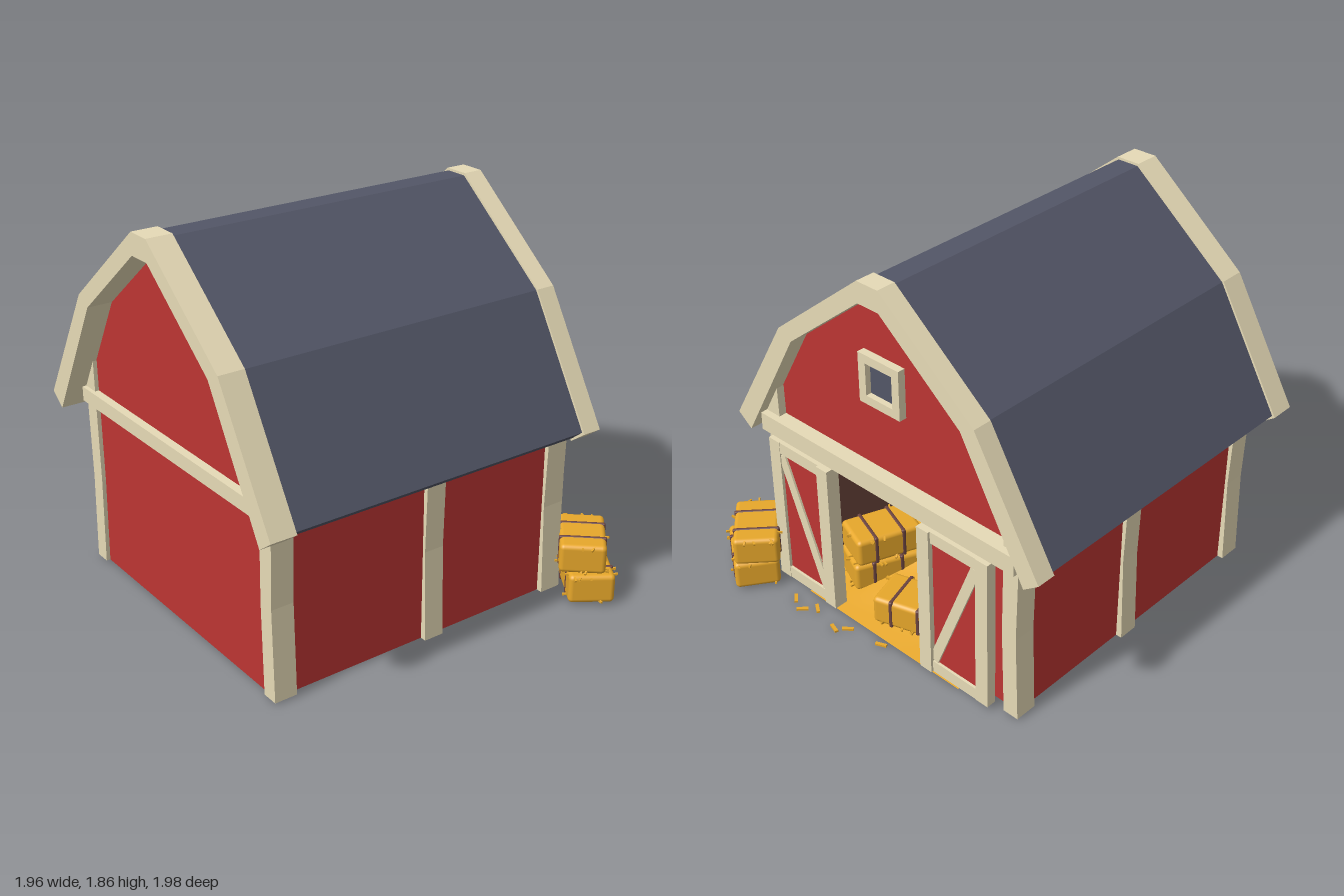
import * as THREE from 'three';
import { RoundedBoxGeometry } from 'three/addons/geometries/RoundedBoxGeometry.js';

const mat = (name, color, extra = {}) =>
  Object.assign(new THREE.MeshStandardMaterial({ color, ...extra }), { name });

export function createModel() {
  const red = mat('barn red', 0xbc3533, { side: THREE.DoubleSide });
  const cream = mat('cream trim', 0xe6dab6);
  const slate = mat('slate roof', 0x535667);
  const brown = mat('inner wood', 0x6e473c);
  const straw = mat('straw', 0xecab2c, { side: THREE.DoubleSide });
  const strapMat = mat('strap', 0x6a4340);

  const model = new THREE.Group();
  model.name = 'barnScene';
  const barn = new THREE.Group();
  barn.name = 'barn';
  barn.position.x = -0.07;
  model.add(barn);

  const add = (parent, name, geo, material, x = 0, y = 0, z = 0) => {
    const m = new THREE.Mesh(geo, material);
    m.name = name;
    m.position.set(x, y, z);
    parent.add(m);
    return m;
  };
  const box = (parent, name, material, w, h, d, x, y, z) =>
    add(parent, name, new THREE.BoxGeometry(w, h, d), material, x, y, z);
  // box given by its limits
  const span = (parent, name, material, x0, x1, y0, y1, z0, z1) =>
    box(parent, name, material, x1 - x0, y1 - y0, z1 - z0, (x0 + x1) / 2, (y0 + y1) / 2, (z0 + z1) / 2);
  const outline = pts => new THREE.Shape(pts.map(p => new THREE.Vector2(p[0], p[1])));
  // extrude an outline from z0 to z1
  const prism = (parent, name, material, pts, z0, z1) =>
    add(parent, name, new THREE.ExtrudeGeometry(outline(pts), { depth: z1 - z0, bevelEnabled: false }),
      material, 0, 0, z0);
  const mirror = pts => [...pts, ...pts.map(([x, y]) => [-x, y]).reverse()];
  // closed band between an outer and an inner half profile
  const band = (outer, inner) => [...mirror(outer), ...mirror(inner).reverse()];

  // walls: a thin shell, open below, with a doorway in the rear gable
  const gable = [[0.745, 0.01], [0.745, 1.0], [0.52, 1.41], [0.06, 1.8]];
  const FRONT = 0.88, REAR = -0.67, IN0 = -0.46, IN1 = 0.56, TOP = 0.84;
  add(barn, 'frontWall', new THREE.ShapeGeometry(outline(mirror(gable))), red, 0, 0, FRONT);
  add(barn, 'rearWall', new THREE.ShapeGeometry(outline(
    [...mirror(gable), [IN0, 0.01], [IN0, TOP], [IN1, TOP], [IN1, 0.01]])), red, 0, 0, REAR);
  for (const s of [-1, 1])
    box(barn, 'sideWall', red, 0.004, 0.98, FRONT - REAR, s * 0.743, 0.5, (FRONT + REAR) / 2);

  // wooden stall behind the doorway
  const BACK = -0.05, CEIL = 0.95;
  span(barn, 'stallBackWall', brown, IN0, IN1, 0.011, CEIL, BACK, BACK + 0.008);
  span(barn, 'stallSideWall', brown, IN0 - 0.008, IN0, 0.011, CEIL, REAR + 0.004, BACK + 0.008);
  span(barn, 'stallSideWall', brown, IN1, IN1 + 0.008, 0.011, CEIL, REAR + 0.004, BACK + 0.008);
  span(barn, 'stallCeiling', slate, IN0, IN1, CEIL, CEIL + 0.008, REAR + 0.004, BACK);

  // roof shell and the bargeboards at both ends
  const roofBand = band([[0.905, 0.865], [0.567, 1.435], [0.055, 1.845]],
    [[0.845, 0.815], [0.5, 1.4], [0.055, 1.76]]);
  prism(barn, 'roof', slate, roofBand, REAR, 0.89);
  const trimBand = band([[0.92, 0.86], [0.575, 1.44], [0.06, 1.857]],
    [[0.84, 0.8], [0.5, 1.4], [0.06, 1.755]]);
  prism(barn, 'frontBargeboard', cream, trimBand, 0.875, 1.0);
  prism(barn, 'rearBargeboard', cream, trimBand, -0.76, -0.665);

  // gently bowed posts along both sides
  const post = [[0.775, 0.01], [0.76, 0.45], [0.772, 0.915], [0.69, 1.06], [0.682, 0.45], [0.695, 0.01]];
  for (const [z0, z1] of [[0.79, 0.9], [0, 0.1], [-0.71, -0.6]]) {
    prism(barn, 'post', cream, post, z0, z1);
    prism(barn, 'post', cream, post.map(([x, y]) => [-x, y]).reverse(), z0, z1);
  }

  // cross beams under the gables
  span(barn, 'frontBeam', cream, -0.775, 0.775, 0.84, 0.91, 0.87, 0.92);
  span(barn, 'rearBeam', cream, -0.775, 0.775, 0.82, 0.91, -0.745, -0.58);

  // rear gable window
  const win = new THREE.Group();
  win.name = 'window';
  win.position.set(0.015, 1.36, REAR);
  barn.add(win);
  box(win, 'windowPane', slate, 0.16, 0.17, 0.008, 0, 0, -0.005);
  for (const s of [-1, 1]) {
    box(win, 'windowFrameSide', cream, 0.042, 0.24, 0.045, s * 0.099, 0, -0.015);
    box(win, 'windowFrameRail', cream, 0.156, 0.042, 0.045, 0, s * 0.099, -0.015);
  }

  // sliding doors
  for (const s of [-1, 1]) {
    const door = new THREE.Group();
    door.name = s > 0 ? 'leftDoor' : 'rightDoor';
    door.position.set(s * 0.48 + 0.035, 0.42, -0.735);
    barn.add(door);
    const W = 0.4, H = 0.78, T = 0.07;
    box(door, 'doorPanel', red, W - 0.02, H - 0.02, 0.03, 0, 0, 0.005);
    box(door, 'innerStile', cream, T, H, 0.07, -s * (W - T) / 2, 0, 0);
    box(door, 'outerStile', cream, T, H, 0.05, s * (W - T) / 2, 0, 0);
    for (const t of [-1, 1])
      box(door, 'doorRail', cream, W - T, 0.06, 0.046, 0, t * (H - 0.06) / 2, 0);
    const dx = W - 2 * T, dy = H - 0.12;
    const brace = box(door, 'doorBrace', cream, 0.05, Math.hypot(dx, dy) - 0.02, 0.04, 0, 0, 0);
    brace.rotation.z = -s * Math.atan2(dx, dy);
  }

  // loose hay rising from the doorway to the back of the stall
  const hay = new THREE.PlaneGeometry(0.98, 0.69, 14, 12);
  hay.rotateX(-Math.PI / 2);
  const hp = hay.attributes.position;
  for (let i = 0; i < hp.count; i++) {
    const x = hp.getX(i), t = (hp.getZ(i) + 0.345) / 0.69;
    const mound = Math.max(0, 1 - Math.pow((x - 0.15) / 0.36, 2));
    hp.setY(i, 0.002 + 0.11 * t + 0.13 * t * t * mound + 0.006 * t * Math.sin(19 * x + 14 * t));
  }
  hay.computeVertexNormals();
  add(model, 'looseHay', hay, straw, -0.035, 0, -0.4);

  // hay bales with straps and stray straw
  let seed = 7;
  const rnd = () => (seed = (seed * 16807) % 2147483647) / 2147483647;
  const L = 0.33, H = 0.143, D = 0.215;
  const baleGeo = new RoundedBoxGeometry(L, H, D, 3, 0.022);
  const strapGeo = new RoundedBoxGeometry(0.02, H + 0.006, D + 0.006, 2, 0.008);
  const strawGeo = new THREE.BoxGeometry(0.032, 0.009, 0.009);
  const bale = (x, y, z, turn) => {
    const g = new THREE.Group();
    g.name = 'hayBale';
    g.position.set(x, y + H / 2, z);
    g.rotation.y = turn;
    model.add(g);
    add(g, 'baleBody', baleGeo, straw);
    for (const s of [-1, 1]) add(g, 'baleStrap', strapGeo, strapMat, s * 0.07);
    for (let i = 0; i < 16; i++) {
      const s = i % 2 ? 1 : -1, onEnd = i % 4 < 2;
      const wisp = add(g, 'strawWisp', strawGeo, straw,
        onEnd ? s * L / 2 : (rnd() - 0.5) * L * 0.9,
        (rnd() < 0.5 ? -1 : 1) * (H / 2 - 0.012),
        onEnd ? (rnd() - 0.5) * D * 0.9 : s * D / 2);
      wisp.rotation.set(0, (onEnd ? 0 : Math.PI / 2) + rnd() - 0.5, (rnd() - 0.5) * 0.8);
    }
  };
  bale(0.785, 0.013, -0.805, -0.6);
  bale(0.755, 0.158, -0.795, -0.74);
  bale(0.3, 0.02, -0.42, 1.15);
  bale(0.3, 0.163, -0.41, 1.22);
  bale(-0.06, 0.015, -0.55, 0.3);

  // scattered straw on the ground
  for (const [x, z, turn] of [[0.17, -0.85, -0.3], [0.12, -0.81, 0.7], [0.33, -0.81, -0.6],
    [0.38, -0.86, 0.8], [0.46, -0.83, -0.7], [-0.07, -0.78, 0.4]]) {
    const bit = box(model, 'groundStraw', straw, 0.055, 0.01, 0.016, x, 0.006, z);
    bit.rotation.y = turn;
  }
  return model;
}
